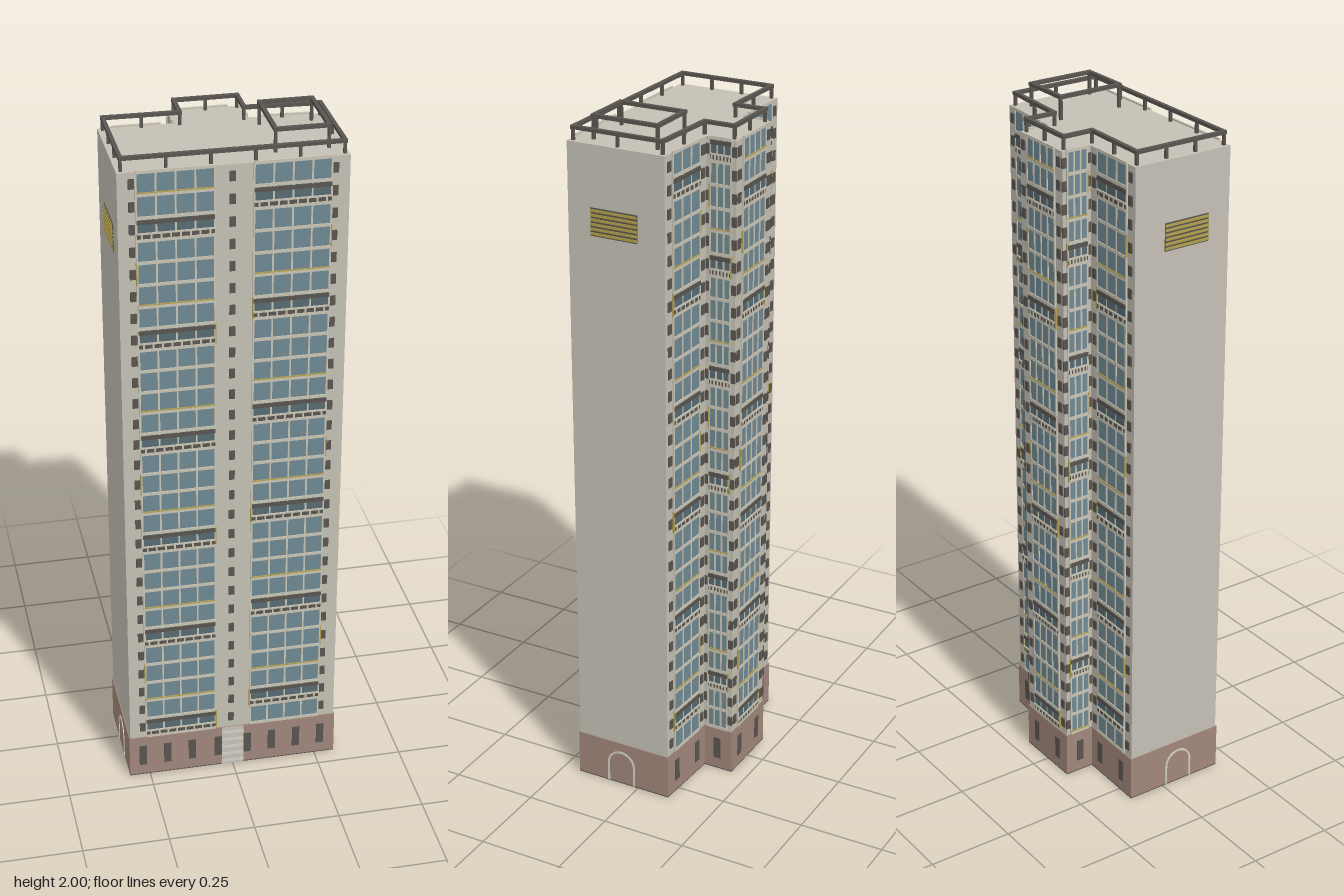
import * as THREE from 'three';
import { mergeGeometries } from 'three/addons/utils/BufferGeometryUtils.js';

const mat = (name, color) => Object.assign(new THREE.MeshStandardMaterial({ color }), { name });
const M = {
  wall: mat('concrete wall', 0xc4c0b5),
  base: mat('brick base', 0xa1867b),
  glass: mat('glass', 0x6f8994),
  shade: mat('balcony glass', 0x566a72),
  frame: mat('window frame', 0xc9c4b4),
  dark: mat('dark metal', 0x595550),
  yellow: mat('yellow trim', 0xb5a04a),
  pale: mat('entrance trim', 0xd2cfc6),
};

// Footprint corners [x, z], starting at the front and going round by +x
const PLAN = [
  [-0.307, 0.192], [0.307, 0.194], [0.307, -0.097], [0.1, -0.107],
  [0.1, -0.196], [-0.1, -0.196], [-0.1, -0.107], [-0.307, -0.111],
];
const BASE_H = 0.135, TOP = 1.932, FLOORS = 28, Y0 = 0.14;
const FH = (TOP - Y0) / FLOORS;

const normal = (a, b) => {
  const l = Math.hypot(b[0] - a[0], b[1] - a[1]);
  return [-(b[1] - a[1]) / l, (b[0] - a[0]) / l];
};

// Move every edge of the footprint outwards by d
function offset(plan, d) {
  const n = plan.length;
  return plan.map((p, i) => {
    const m = normal(plan[(i + n - 1) % n], p), k = normal(p, plan[(i + 1) % n]);
    const s = d / (1 + m[0] * k[0] + m[1] * k[1]);
    return [p[0] + (m[0] + k[0]) * s, p[1] + (m[1] + k[1]) * s];
  });
}

function prism(name, plan, y0, y1, material) {
  const shape = new THREE.Shape(plan.map(([x, z]) => new THREE.Vector2(x, -z)));
  const g = new THREE.ExtrudeGeometry(shape, { depth: y1 - y0, bevelEnabled: false });
  g.rotateX(-Math.PI / 2).translate(0, y0, 0);
  const mesh = new THREE.Mesh(g, material);
  mesh.name = name;
  return mesh;
}

const box = (x, y, z, w, h, d) => new THREE.BoxGeometry(w, h, d).translate(x, y, z);

// Collects boxes by part name, then makes one mesh for each part
class Parts {
  constructor(name) {
    this.group = new THREE.Group();
    this.group.name = name;
    this.lists = {};
  }
  add(name, material, geometry) {
    (this.lists[name] ??= { material, geos: [] }).geos.push(geometry);
  }
  done() {
    for (const [name, { material, geos }] of Object.entries(this.lists)) {
      const mesh = new THREE.Mesh(mergeGeometries(geos), material);
      mesh.name = name;
      this.group.add(mesh);
    }
    return this.group;
  }
}

// Group placed on a wall: local x runs along it, local z points outwards
function onWall(edge, parts) {
  const a = PLAN[edge], b = PLAN[(edge + 1) % PLAN.length];
  const g = parts.done();
  g.position.set((a[0] + b[0]) / 2, 0, (a[1] + b[1]) / 2);
  g.rotation.y = Math.atan2(a[1] - b[1], b[0] - a[0]);
  return g;
}

// Glazed bay with a frame grid and a balcony on every fifth floor
function glazing(p, u0, u1, cols, phase) {
  const w = u1 - u0, c = (u0 + u1) / 2, h = TOP - Y0;
  p.add('glass', M.glass, box(c, Y0 + h / 2, 0.001, w, h, 0.003));
  for (let i = 0; i <= cols; i++) {
    p.add('mullions', M.frame, box(u0 + (w * i) / cols, Y0 + h / 2, 0.002, 0.005, h, 0.005));
  }
  for (let k = 0; k <= FLOORS; k++) {
    const y = Y0 + k * FH;
    p.add('floorBands', M.frame, box(c, y, 0.002, w, 0.009, 0.006));
    if (k === FLOORS) break;
    const step = (k + 5 - phase) % 5;
    if (step === 0) {
      p.add('balconyShade', M.shade, box(c, y + FH / 2, 0.0025, w, FH - 0.009, 0.003));
      p.add('balconyLintel', M.dark, box(c, y + FH - 0.012, 0.003, w, 0.012, 0.006));
      p.add('balconyGap', M.dark, box(c, y + 0.011, 0.003, w, 0.012, 0.004));
      p.add('balconyRail', M.frame, box(c, y + 0.02, 0.004, w, 0.005, 0.006));
      for (let i = 0; i < cols * 2; i++) {
        p.add('balusters', M.frame, box(u0 + (w * (i + 0.5)) / (cols * 2), y + 0.011, 0.004, 0.005, 0.014, 0.004));
      }
    }
    if (step === 2) p.add('yellowSill', M.yellow, box(c, y + 0.006, 0.003, w, 0.003, 0.005));
    if ((k * 7 + phase * 3) % 10 < 2) {
      const side = k % 2 ? u0 - 0.002 : u1 + 0.002;
      p.add('yellowFin', M.yellow, box(side, y + FH / 2, 0.002, 0.003, FH, 0.006));
    }
  }
}

// Column of small windows, one on each floor
function smallWindows(p, u) {
  for (let k = 0; k < FLOORS; k++) {
    p.add('smallWindows', M.dark, box(u, Y0 + (k + 0.5) * FH, 0.001, 0.016, 0.028, 0.005));
  }
}

function baseWindows(p, us) {
  for (const u of us) p.add('baseWindows', M.dark, box(u, 0.07, 0.003, 0.022, 0.068, 0.004));
}

// Side wall: louvre high up and an arch outline on the base
function sideDetails(p, u) {
  p.add('louvreBack', M.dark, box(u, 1.722, 0.001, 0.14, 0.078, 0.004));
  for (let i = 0; i < 6; i++) {
    p.add('louvreSlats', M.yellow, box(u, 1.69 + i * 0.0128, 0.002, 0.14, 0.0075, 0.005));
  }
  const r = 0.045, t = 0.006, s = new THREE.Shape();
  s.moveTo(-r, 0).lineTo(-r + t, 0).lineTo(-r + t, 0.06);
  s.absarc(0, 0.06, r - t, Math.PI, 0, true);
  s.lineTo(r - t, 0).lineTo(r, 0).lineTo(r, 0.06);
  s.absarc(0, 0.06, r, 0, Math.PI, false);
  const arch = new THREE.ExtrudeGeometry(s, { depth: 0.003, bevelEnabled: false, curveSegments: 10 });
  p.add('archOutline', M.pale, arch.translate(u, 0.003, 0.002));
}

// Closed rail following a plan, with posts along each edge
function railing(name, plan, y, spacing) {
  const p = new Parts(name), t = 0.011;
  plan.forEach((a, i) => {
    const b = plan[(i + 1) % plan.length];
    const dx = b[0] - a[0], dz = b[1] - a[1], len = Math.hypot(dx, dz);
    const bar = new THREE.BoxGeometry(len + t, 0.01, t);
    bar.rotateY(Math.atan2(-dz, dx)).translate((a[0] + b[0]) / 2, y - 0.005, (a[1] + b[1]) / 2);
    p.add('rail', M.dark, bar);
    const n = Math.max(1, Math.round(len / spacing));
    for (let k = 0; k < n; k++) {
      const h = y - TOP;
      p.add('posts', M.dark, box(a[0] + (dx * k) / n, TOP + h / 2, a[1] + (dz * k) / n, 0.008, h, 0.008));
    }
  });
  return p.done();
}

export function createModel() {
  const model = new THREE.Group();
  model.name = 'towerBlock';

  // Main masses
  const basePlan = offset(PLAN, 0.003);
  model.add(prism('underside', basePlan, 0, 0.003, M.dark));
  model.add(prism('base', basePlan, 0.003, BASE_H, M.base));
  model.add(prism('tower', PLAN, BASE_H, TOP, M.wall));

  // Front wall with entrance
  const front = new Parts('frontFacade');
  glazing(front, -0.258, -0.052, 4, 0);
  glazing(front, 0.052, 0.258, 4, 1);
  for (const u of [-0.27, -0.005, 0.268]) smallWindows(front, u);
  baseWindows(front, [-0.27, -0.196, -0.122, -0.044, 0.044, 0.118, 0.192, 0.266]);
  front.add('entrancePanel', M.wall, box(0, 0.067, 0.002, 0.066, 0.134, 0.005));
  for (let i = 0; i < 5; i++) {
    front.add('entranceSlats', M.pale, box(0, 0.012 + i * 0.026, 0.004, 0.066, 0.009, 0.005));
  }
  model.add(onWall(0, front));

  // Side walls
  const right = new Parts('leftSideWall'), left = new Parts('rightSideWall');
  sideDetails(right, -0.006);
  sideDetails(left, 0.013);
  model.add(onWall(1, right), onWall(7, left));

  // Rear walls: main block and projecting wing
  const rear = [
    [2, 'rearFacadeLeft', 0.067, 3, 1, 0.084, [-0.055, 0.055]],
    [3, 'wingSideLeft', 0.031, 3, 2, 0.039, [0]],
    [4, 'wingRearFacade', 0.064, 4, 0, 0.083, [-0.055, 0.055]],
    [5, 'wingSideRight', 0.031, 3, 3, 0.039, [0]],
    [6, 'rearFacadeRight', 0.067, 3, 1, 0.084, [-0.055, 0.055]],
  ];
  for (const [edge, name, half, cols, phase, windowU, baseU] of rear) {
    const p = new Parts(name);
    glazing(p, -half, half, cols, phase);
    smallWindows(p, -windowU);
    smallWindows(p, windowU);
    baseWindows(p, baseU);
    model.add(onWall(edge, p));
  }

  // Roof railings
  model.add(railing('roofRailing', offset(PLAN, -0.0125), 1.972, 0.11));
  const deck = [[0.12, 0.138], [0.263, 0.138], [0.263, -0.053], [0.12, -0.053]];
  model.add(railing('upperRailing', deck, 2, 0.2));
  return model;
}
